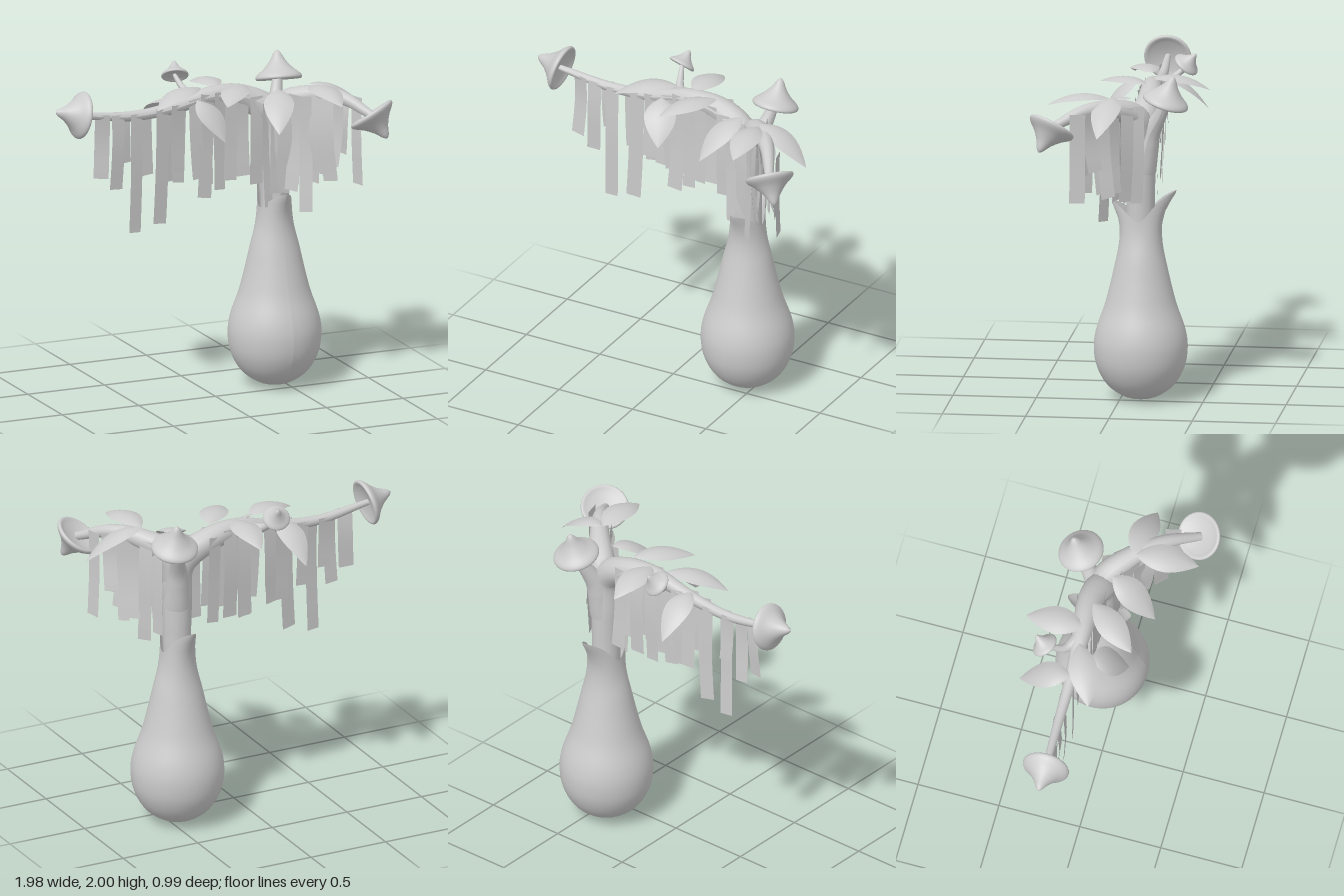
import * as THREE from 'three';

const V = (p) => new THREE.Vector3(...p);
const material = new THREE.MeshStandardMaterial({ color: 0xcccccc, side: THREE.DoubleSide });

// small seeded generator, returns -1..1
let seed = 7;
const jitter = () => {
  seed = (seed * 16807) % 2147483647;
  return (seed / 2147483647) * 2 - 1;
};

function add(parent, geometry, name) {
  const mesh = new THREE.Mesh(geometry, material);
  mesh.name = name;
  parent.add(mesh);
  return mesh;
}

// linear interpolation through a list of radii
function radiusAt(radii, u) {
  const f = u * (radii.length - 1);
  const i = Math.min(Math.floor(f), radii.length - 2);
  return THREE.MathUtils.lerp(radii[i], radii[i + 1], f - i);
}

// tube whose radius changes along its curve
function taperedTube(curve, radii, segments = 40, sides = 14) {
  const g = new THREE.TubeGeometry(curve, segments, 1, sides);
  const pos = g.attributes.position;
  const p = new THREE.Vector3();
  for (let i = 0; i < pos.count; i++) {
    const u = Math.floor(i / (sides + 1)) / segments;
    const c = curve.getPointAt(u);
    p.fromBufferAttribute(pos, i).sub(c).multiplyScalar(radiusAt(radii, u)).add(c);
    pos.setXYZ(i, p.x, p.y, p.z);
  }
  g.computeVertexNormals();
  return g;
}

// thin sheet: rule maps s (-1..1 across) and t (0..1 along) to a point
function sheet(across, along, rule) {
  const g = new THREE.PlaneGeometry(2, 1, across, along);
  const pos = g.attributes.position;
  for (let i = 0; i < pos.count; i++) {
    const p = rule(pos.getX(i), 0.5 - pos.getY(i));
    pos.setXYZ(i, p.x, p.y, p.z);
  }
  g.computeVertexNormals();
  return g;
}

// pear-shaped vase with a rim drawn up into a front and a back lip
function vase() {
  const profile = new THREE.SplineCurve([
    [0, 0], [0.1, 0.02], [0.2, 0.09], [0.262, 0.2], [0.28, 0.32], [0.265, 0.43], [0.22, 0.56],
    [0.195, 0.65], [0.16, 0.8], [0.125, 0.97], [0.115, 1.1],
  ].map((p) => new THREE.Vector2(...p))).getPoints(50);
  profile.forEach((p) => { p.x = Math.max(p.x, 0); });
  const g = new THREE.LatheGeometry(profile, 48);
  const pos = g.attributes.position;
  for (let i = 0; i < pos.count; i++) {
    const x = pos.getX(i), y = pos.getY(i), z = pos.getZ(i);
    const k = THREE.MathUtils.smoothstep(y, 0.85, 1.1);
    const c = z / (Math.hypot(x, z) || 1);
    const lip = k * k * Math.abs(c) ** 1.8;
    pos.setXYZ(i, x * (1 - 0.15 * k), y + lip * (c > 0 ? 0.11 : 0.18),
      z + Math.sign(c) * lip ** 3 * (c > 0 ? 0.06 : 0.1));
  }
  g.computeVertexNormals();
  return g;
}

// pointed mushroom cap with a hollow underside, rim radius 1
const capProfile = new THREE.SplineCurve([
  [0, 0.14], [0.35, 0.1], [0.7, 0.02], [0.92, -0.06], [1, 0.02], [0.92, 0.17],
  [0.62, 0.42], [0.34, 0.75], [0.14, 1.1], [0, 1.22],
].map((p) => new THREE.Vector2(...p))).getPoints(36);
capProfile.forEach((p) => { p.x = Math.max(p.x, 0); });
const capGeometry = new THREE.LatheGeometry(capProfile, 32);

// arched leaf from base to tip
function leaf(base, tip, halfWidth, arch) {
  const a = V(base), b = V(tip);
  const mid = a.clone().lerp(b, 0.5);
  mid.y += arch * 2;
  const rib = new THREE.QuadraticBezierCurve3(a, mid, b);
  const side = b.clone().sub(a).cross(new THREE.Vector3(0, 1, 0)).normalize();
  return sheet(6, 14, (s, t) => {
    const w = halfWidth * Math.sin(Math.PI * t ** 0.9) ** 0.9;
    const p = rib.getPoint(t).addScaledVector(side, s * w);
    p.y -= 0.25 * w * s * s;
    return p;
  });
}

// slightly curved ribbon hanging from a top centre down to yBottom, turned by yaw
function ribbon(top, yBottom, yaw) {
  const turn = yaw + jitter() * 0.2;
  const across = new THREE.Vector3(Math.cos(turn), 0, -Math.sin(turn));
  const out = new THREE.Vector3(Math.sin(turn), 0, Math.cos(turn));
  const half = 0.042 + jitter() * 0.005, lean = jitter() * 0.03, bulge = jitter() * 0.015;
  return sheet(1, 12, (s, t) => {
    const p = top.clone().addScaledVector(across, s * half + lean * t * t)
      .addScaledVector(out, bulge * Math.sin(t * 4));
    p.y += t * (yBottom - top.y) + s * lean * 0.3;
    return p;
  });
}

export function createModel() {
  const model = new THREE.Group();
  model.name = 'mushroomBranchVase';
  add(model, vase(), 'vase').position.set(0.44, 0, -0.12);

  // branches
  const path = (pts) => new THREE.CatmullRomCurve3(pts.map(V));
  const mainBranch = path([[0.44, 0.95, -0.12], [0.44, 1.4, -0.12], [0.42, 1.66, -0.12], [0.28, 1.77, -0.15],
    [0.05, 1.82, -0.14], [-0.25, 1.77, -0.13], [-0.5, 1.755, -0.13], [-0.84, 1.8, -0.12]]);
  const mainRadii = [0.085, 0.085, 0.09, 0.09, 0.07, 0.045, 0.034, 0.028, 0.018];
  add(model, taperedTube(mainBranch, mainRadii, 70), 'mainBranch');
  add(model, taperedTube(path([[0.44, 1.5, -0.12], [0.49, 1.72, -0.1], [0.62, 1.8, 0.03], [0.74, 1.81, 0.18],
    [0.86, 1.73, 0.37]]), [0.08, 0.08, 0.06, 0.04, 0.025]), 'rightBranch');
  add(model, taperedTube(path([[0.45, 1.4, -0.13], [0.47, 1.62, -0.18], [0.51, 1.76, -0.25], [0.54, 1.87, -0.29]]),
    [0.085, 0.07, 0.045, 0.025]), 'backStem');
  add(model, taperedTube(path([[0.02, 1.82, -0.14], [-0.07, 1.82, -0.21], [-0.1, 1.86, -0.27], [-0.12, 1.92, -0.33]]),
    [0.05, 0.03, 0.02, 0.012]), 'smallStem');

  // mushroom caps: rim centre, direction of the point, radius
  [
    [[-0.82, 1.8, -0.12], [-0.97, 0.22, 0], 0.142],
    [[0.855, 1.74, 0.36], [0.42, -0.8, 0.4], 0.145],
    [[0.54, 1.835, -0.28], [0.06, 0.95, -0.3], 0.14],
    [[-0.12, 1.915, -0.32], [0.2, 0.72, -0.6], 0.082],
  ].forEach(([at, dir, r]) => {
    const cap = add(model, capGeometry, 'mushroomCap');
    cap.position.set(...at);
    cap.quaternion.setFromUnitVectors(new THREE.Vector3(0, 1, 0), V(dir).normalize());
    cap.scale.setScalar(r);
  });

  // leaves: base, tip, half width, arch
  [
    [[-0.23, 1.81, -0.13], [-0.26, 1.62, -0.44], 0.085, 0.07],
    [[0.07, 1.87, -0.13], [0.07, 1.81, -0.49], 0.088, 0.05],
    [[-0.04, 1.88, -0.13], [-0.39, 1.81, 0.02], 0.085, 0.05],
    [[-0.1, 1.83, -0.04], [-0.01, 1.61, 0.17], 0.095, 0.05],
    [[0.23, 1.87, -0.12], [0.0, 1.83, 0.18], 0.085, 0.04],
    [[0.44, 1.83, -0.06], [0.31, 1.64, 0.24], 0.09, 0.06],
    [[0.6, 1.86, 0.04], [0.64, 1.82, 0.42], 0.088, 0.05],
    [[0.6, 1.87, 0.02], [0.95, 1.69, 0.08], 0.085, 0.06],
  ].forEach((l) => add(model, leaf(...l), 'leaf'));

  // ribbons along the main branch: x, lower end, side (1 front, -1 back)
  const samples = Array.from({ length: 201 }, (_, i) => i / 200)
    .map((u) => ({ p: mainBranch.getPointAt(u), r: radiusAt(mainRadii, u) }))
    .filter(({ p }) => p.y > 1.65);
  [
    [-0.69, 1.4, 1], [-0.59, 1.32, 1], [-0.53, 1.46, -1], [-0.47, 1.04, 1], [-0.38, 1.37, -1], [-0.3, 1.08, 1],
    [-0.24, 1.31, -1], [-0.2, 1.38, 1], [-0.15, 1.3, -1], [-0.09, 1.33, 1], [-0.01, 1.21, 1], [0.03, 1.26, -1],
    [0.07, 1.25, 1], [0.13, 1.28, -1], [0.14, 1.3, 1], [0.21, 1.32, 1], [0.24, 1.28, -1], [0.3, 1.26, 1],
    [0.37, 1.12, 1], [0.42, 1.2, 1],
  ].forEach(([x, y, side]) => {
    const { p, r } = samples.reduce((a, b) => (Math.abs(b.p.x - x) < Math.abs(a.p.x - x) ? b : a));
    add(model, ribbon(new THREE.Vector3(x, p.y + 0.5 * r, p.z + side * 0.95 * r), y, 0), 'ribbon');
  });

  // ribbons along both sides of the right branch: x, z, lower end, yaw
  [
    [0.47, -0.02, 1.2, -0.3], [0.51, 0.02, 1.22, -0.6], [0.55, 0.08, 1.1, -0.9], [0.6, 0.11, 1.28, -1],
    [0.65, 0.17, 1.3, -1], [0.7, 0.21, 1.4, -1],
    [0.57, -0.12, 1.22, -1], [0.62, -0.06, 1.24, -1], [0.67, 0.01, 1.3, -1], [0.72, 0.07, 1.28, -1],
    [0.77, 0.14, 1.45, -1], [0.83, 0.21, 1.27, -1.2],
  ].forEach(([x, z, y, yaw]) => add(model, ribbon(V([x, 1.81, z]), y, yaw), 'ribbon'));

  return model;
}
